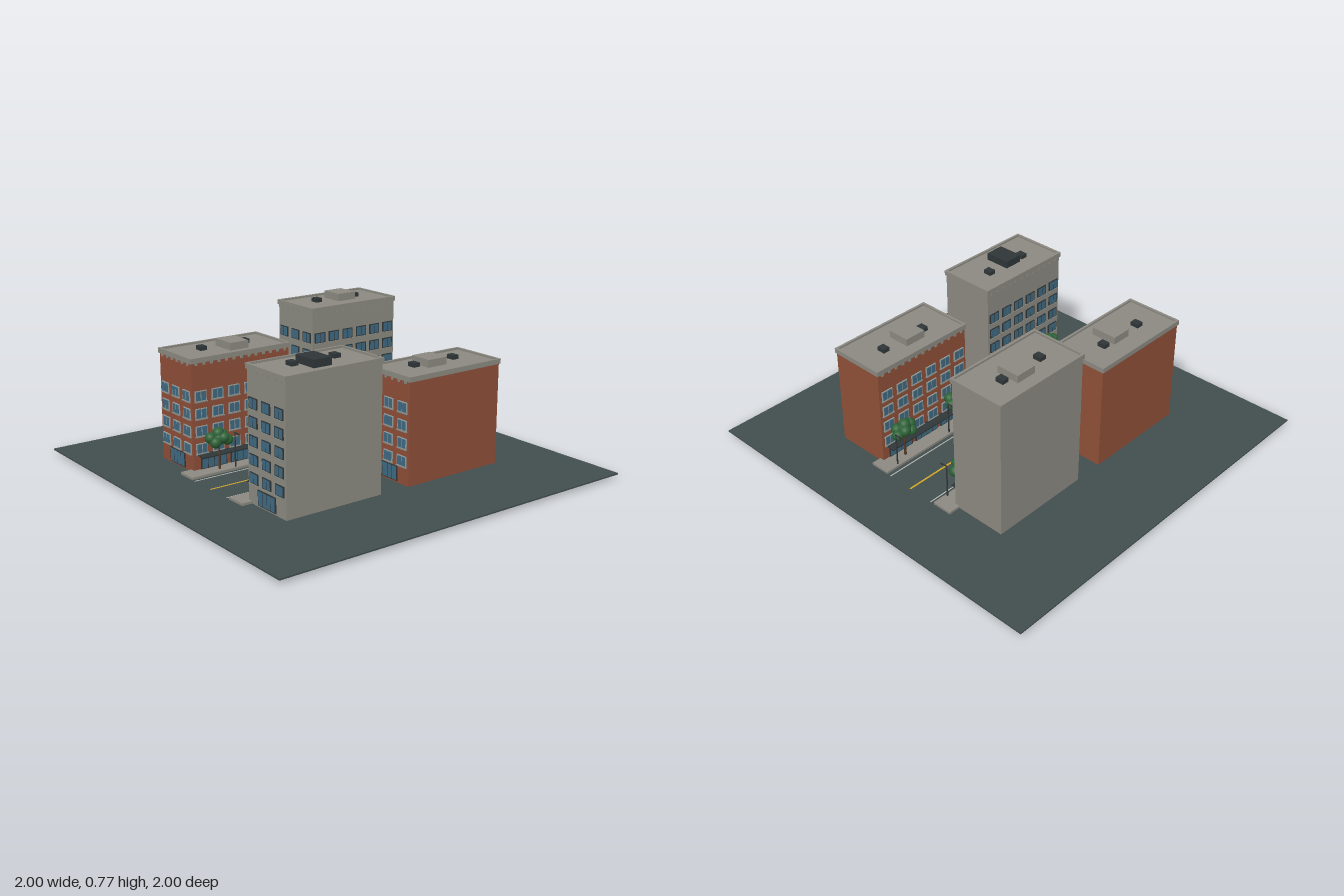
import * as THREE from 'three';

const mat = (name, color) => {
  const m = new THREE.MeshStandardMaterial({ color });
  m.name = name;
  return m;
};

export function createModel() {
  const M = {
    asphalt: mat('asphalt', 0x424d4e),
    concrete: mat('concrete', 0x8b8981),
    brick: mat('brick', 0x8f4f38),
    glass: mat('glass', 0x3f6a82),
    paleFrame: mat('pale frame', 0x96a09f),
    darkMetal: mat('dark metal', 0x2f3638),
    yellow: mat('yellow paint', 0xd0a426),
    white: mat('white paint', 0xb9bab4),
    bark: mat('bark', 0x5a3826),
    leaf: mat('leaf', 0x2c6236),
  };
  const unit = new THREE.BoxGeometry(1, 1, 1);
  const model = new THREE.Group();
  model.name = 'cityBlock';

  // Box from its centre and size
  const box = (parent, name, material, [x, y, z], [w, h, d]) => {
    const m = new THREE.Mesh(unit, material);
    m.name = name;
    m.position.set(x, y, z);
    m.scale.set(w, h, d);
    parent.add(m);
    return m;
  };
  const group = (parent, name) => {
    const g = new THREE.Group();
    g.name = name;
    parent.add(g);
    return g;
  };

  // Glazed opening facing local +z: frame, panes and sill
  const opening = (parent, name, frame, x, y, w, h, panes) => {
    const g = group(parent, name);
    g.position.set(x, y, 0);
    box(g, 'frame', frame, [0, 0, 0.001], [w, h, 0.008]);
    const step = (w - 0.006) / panes;
    for (let i = 0; i < panes; i++) {
      box(g, 'pane', M.glass, [(i - (panes - 1) / 2) * step, 0, 0.004], [step - 0.004, h - 0.008, 0.004]);
    }
    return g;
  };

  // Wall face with rows of windows, facing local +z
  const facade = (parent, name, s, width, cols, span) => {
    const g = group(parent, name);
    const frame = s.wall === M.brick ? M.paleFrame : M.darkMetal;
    for (let r = 0; r < s.rows; r++) {
      for (let c = 0; c < cols; c++) {
        const x = (c - (cols - 1) / 2) * span;
        const y = s.firstRow + r * 0.0872;
        opening(g, 'window', frame, x, y, 0.064, 0.052, 2);
        box(g, 'sill', M.concrete, [x, y - 0.028, 0.003], [0.07, 0.005, 0.012]);
      }
    }
    // Dentils below the cornice
    const n = Math.round(width / 0.045);
    for (let i = 0; i < n; i++) {
      box(g, 'dentil', M.concrete, [((i + 0.5) / n - 0.5) * (width - 0.01), s.top - 0.031, 0.002], [0.012, 0.012, 0.01]);
    }
    return g;
  };

  const buildings = [
    { name: 'frontRightBrickBlock', side: -1, z0: 0.06, z1: 0.625, top: 0.592, wall: M.brick, rows: 4, firstRow: 0.142,
      unit: [-0.368, 0.312, 0.135, 0.105], unitMat: M.concrete, vents: [[-0.405, 0.215], [-0.405, 0.465]] },
    { name: 'frontLeftConcreteBlock', side: 1, z0: 0.098, z1: 0.63, top: 0.674, wall: M.concrete, rows: 5, firstRow: 0.15,
      unit: [0.402, 0.385, 0.135, 0.1], unitMat: M.darkMetal, vents: [[0.365, 0.24], [0.365, 0.475]] },
    { name: 'backRightConcreteBlock', side: -1, z0: -0.622, z1: -0.09, top: 0.743, wall: M.concrete, rows: 6, firstRow: 0.15,
      unit: [-0.405, -0.39, 0.12, 0.11], unitMat: M.concrete, vents: [[-0.405, -0.48], [-0.405, -0.24]] },
    { name: 'backLeftBrickBlock', side: 1, z0: -0.635, z1: -0.067, top: 0.556, wall: M.brick, rows: 4, firstRow: 0.142,
      unit: [0.37, -0.328, 0.12, 0.115], unitMat: M.concrete, vents: [[0.365, -0.485], [0.365, -0.235]] },
  ];

  for (const s of buildings) {
    const g = group(model, s.name);
    const len = s.z1 - s.z0, zc = (s.z0 + s.z1) / 2, xc = s.side * 0.386, w = 0.29;
    const roof = s.top - 0.01;
    box(g, 'walls', s.wall, [xc, (0.022 + s.top - 0.024) / 2, zc], [w, s.top - 0.046, len]);

    // Roof slab with a parapet rim
    box(g, 'roof', M.concrete, [xc, s.top - 0.017, zc], [w + 0.006, 0.014, len + 0.006]);
    for (const k of [-1, 1]) {
      box(g, 'parapet', M.concrete, [xc + k * (w / 2), s.top - 0.0125, zc], [0.012, 0.025, len + 0.012]);
      box(g, 'parapet', M.concrete, [xc, s.top - 0.0125, zc + k * (len / 2)], [w, 0.025, 0.012]);
    }

    // Rooftop machinery
    const [ux, uz, uw, ud] = s.unit;
    box(g, 'roofUnit', s.unitMat, [ux, roof + 0.019, uz], [uw, 0.038, ud]);
    for (const [vx, vz] of s.vents) box(g, 'roofVent', M.darkMetal, [vx, roof + 0.01, vz], [0.044, 0.021, 0.036]);

    // Front face with entrance
    const front = facade(g, 'frontFacade', s, w, 3, 0.098);
    front.position.set(xc, 0, s.z1);
    opening(front, 'entrance', M.darkMetal, 0, 0.07, 0.136, 0.074, 4);

    // Street face with shop fronts and awning
    const street = facade(g, 'streetFacade', s, len, 6, len / 6);
    street.position.set(s.side * 0.241, 0, zc);
    street.rotation.y = -s.side * Math.PI / 2;
    for (let i = -1; i <= 1; i++) opening(street, 'shopFront', M.darkMetal, i * len * 0.3, 0.07, len * 0.26, 0.068, 4);
    const awning = box(street, 'awning', M.darkMetal, [0, 0.109, 0.024], [len * 0.92, 0.006, 0.046]);
    awning.rotation.x = 0.15;

    // Footing strip below the street face
    box(g, 'footing', M.concrete, [s.side * 0.237, 0.005, zc], [0.006, 0.01, len]);
  }

  // Ground, pavements and road paint
  box(model, 'ground', M.asphalt, [0, 0.021, 0], [2, 0.007, 2]);
  box(model, 'centreLine', M.yellow, [0, 0.0255, 0], [0.009, 0.002, 1.37]);
  for (const k of [-1, 1]) {
    box(model, 'pavement', M.concrete, [k * 0.213, 0.03, 0], [0.106, 0.013, 1.37]);
    box(model, 'edgeLine', M.white, [k * 0.138, 0.0255, 0], [0.005, 0.002, 1.37]);
  }

  // Street lamps
  const poleGeo = new THREE.CylinderGeometry(0.003, 0.004, 0.175, 8);
  for (const k of [-1, 1]) {
    for (const z of [-0.607, -0.26, 0.085, 0.432]) {
      const lamp = group(model, 'streetLamp');
      lamp.position.set(k * 0.172, 0.036, z);
      const pole = new THREE.Mesh(poleGeo, M.darkMetal);
      pole.name = 'lampPole';
      pole.position.y = 0.0875;
      lamp.add(pole);
      box(lamp, 'lampArm', M.darkMetal, [-k * 0.017, 0.174, 0], [0.04, 0.004, 0.005]);
      box(lamp, 'lampHead', M.darkMetal, [-k * 0.03, 0.171, 0], [0.016, 0.005, 0.009]);
      box(lamp, 'lampLight', M.yellow, [-k * 0.03, 0.1675, 0], [0.012, 0.002, 0.007]);
    }
  }

  // Trees with clustered crowns
  const trunkGeo = new THREE.CylinderGeometry(0.004, 0.007, 0.12, 8);
  const leafGeo = new THREE.IcosahedronGeometry(1, 2);
  const blobs = [[0, 0.165, 0, 0.037], [0, 0.187, 0.004, 0.03]];
  for (let i = 0; i < 6; i++) {
    const a = i * Math.PI / 3 + 0.3;
    blobs.push([Math.cos(a) * 0.024, 0.148 + (i % 2) * 0.02, Math.sin(a) * 0.046, 0.028]);
  }
  for (const k of [-1, 1]) {
    [-0.53, -0.178, 0.163, 0.508].forEach((z, i) => {
      const tree = group(model, 'tree');
      tree.position.set(k * (0.2 - (i % 2) * 0.004), 0.03, z);
      const trunk = new THREE.Mesh(trunkGeo, M.bark);
      trunk.name = 'trunk';
      trunk.position.y = 0.06;
      tree.add(trunk);
      const crown = group(tree, 'crown');
      for (const [x, y, bz, r] of blobs) {
        const b = new THREE.Mesh(leafGeo, M.leaf);
        b.name = 'foliage';
        b.position.set(k * x, y, bz);
        b.scale.setScalar(r);
        crown.add(b);
      }
    });
  }
  return model;
}
